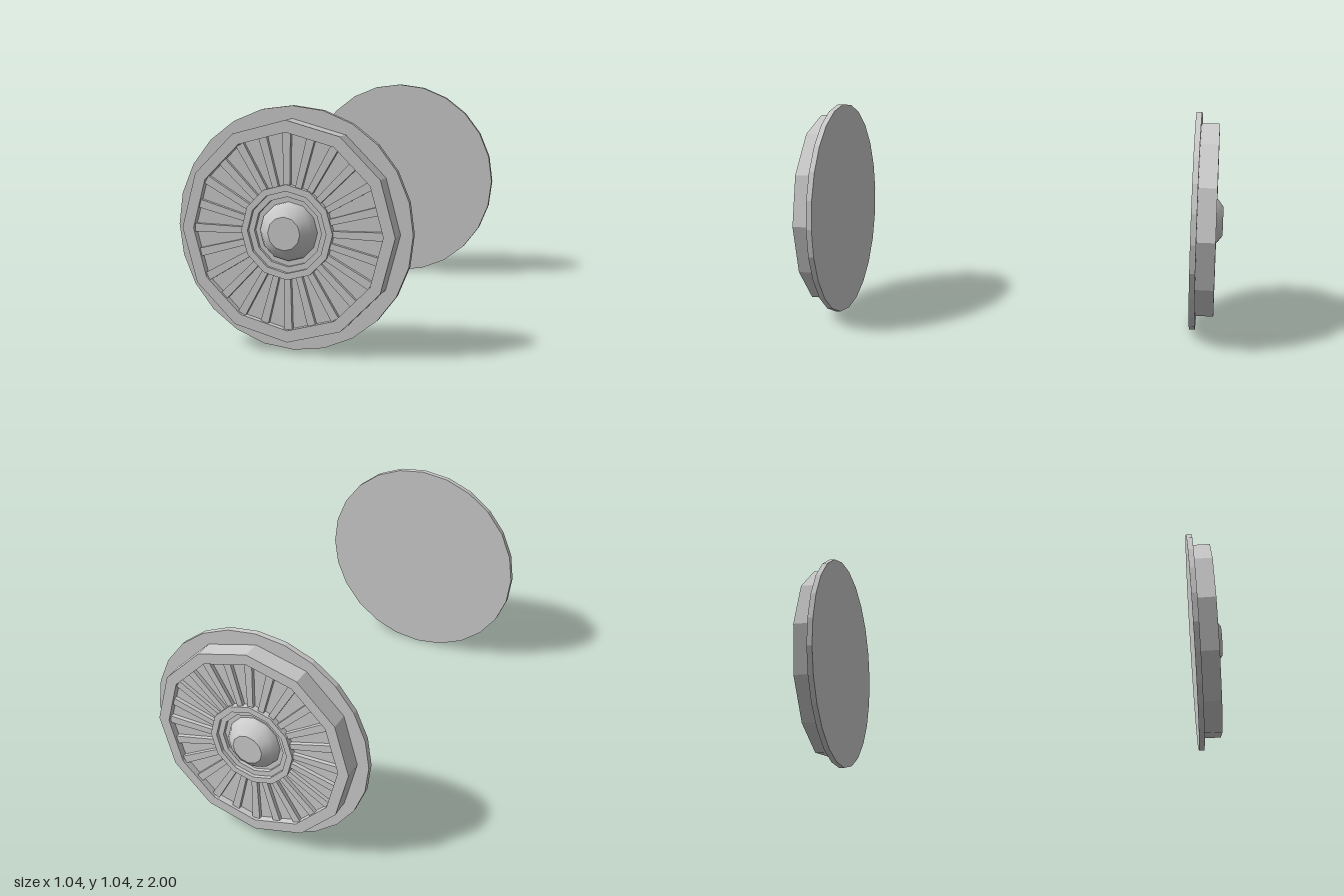
import * as THREE from 'three';

const grey = new THREE.MeshStandardMaterial({ color: 0xcccccc, flatShading: true });
const smooth = new THREE.MeshStandardMaterial({ color: 0xcccccc });

const CENTRE_Y = 0.518; // axle height
const SPOKES = 24;

// Turned part around the z axle; profile is [radius, z], running from back to front
function turned(name, profile, sides, material = grey) {
  const geometry = new THREE.LatheGeometry(profile.map(([r, z]) => new THREE.Vector2(r, z)), sides);
  geometry.rotateX(Math.PI / 2);
  const mesh = new THREE.Mesh(geometry, material);
  mesh.name = name;
  return mesh;
}

// Slightly tapered raised bar, pointing up from the axle
function spokeGeometry() {
  const shape = new THREE.Shape([
    new THREE.Vector2(-0.013, 0.185), new THREE.Vector2(0.013, 0.185),
    new THREE.Vector2(0.018, 0.412), new THREE.Vector2(-0.018, 0.412),
  ]);
  const geometry = new THREE.ExtrudeGeometry(shape, { depth: 0.02, bevelEnabled: false });
  geometry.translate(0, 0, 0.938);
  return geometry;
}

function createWheel(name) {
  const wheel = new THREE.Group();
  wheel.name = name;

  // Wide, thin inner disc
  wheel.add(turned('flange', [[0, 0.86], [0.518, 0.86], [0.518, 0.886], [0.44, 0.886]], 24));

  // Tread, raised rim, recessed web, and stepped hub ring
  wheel.add(turned('rimAndHub', [
    [0.465, 0.884], [0.465, 0.97], [0.415, 0.97], [0.415, 0.94],
    [0.2, 0.94], [0.2, 0.968], [0.172, 0.968], [0.172, 0.952],
    [0.147, 0.952], [0.147, 0.935], [0, 0.935],
  ], 12));

  // Rounded axle cap with a flat end
  wheel.add(turned('axleCap', [[0.125, 0.933], [0.122, 0.95], [0.107, 0.973], [0.07, 1]], 12, smooth));
  const capEnd = new THREE.Mesh(new THREE.CircleGeometry(0.07, 12), smooth);
  capEnd.name = 'axleCapEnd';
  capEnd.position.z = 1;
  wheel.add(capEnd);

  // Spokes
  const bar = spokeGeometry();
  for (let i = 0; i < SPOKES; i++) {
    const spoke = new THREE.Mesh(bar, grey);
    spoke.name = 'spoke';
    spoke.rotation.z = (i / SPOKES) * Math.PI * 2;
    wheel.add(spoke);
  }

  wheel.position.y = CENTRE_Y;
  return wheel;
}

export function createModel() {
  const model = new THREE.Group();
  model.name = 'wheelPair';
  const front = createWheel('frontWheel');
  const back = createWheel('backWheel');
  back.rotation.y = Math.PI; // faces outward on the far side
  model.add(front, back);
  return model;
}
